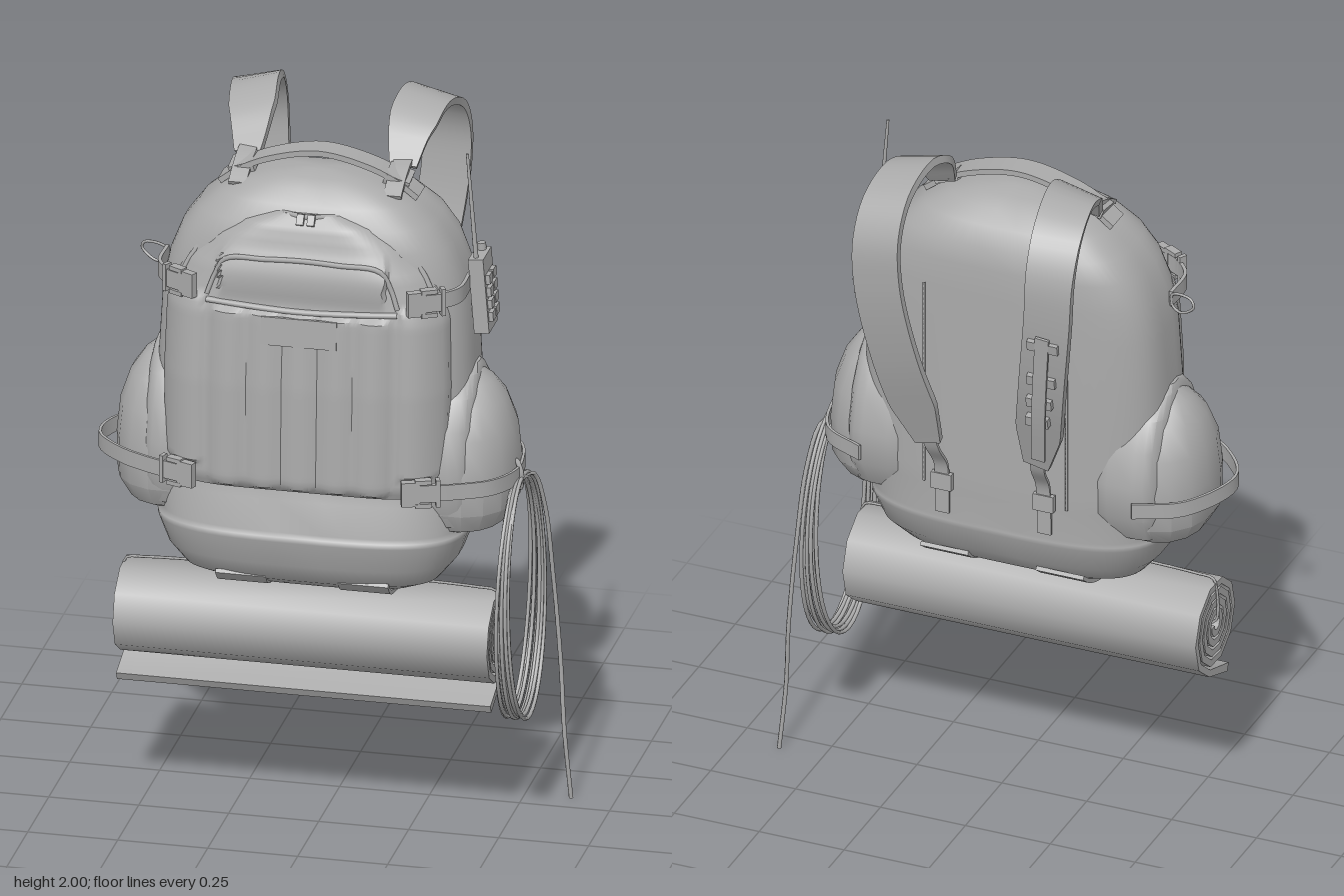
import * as THREE from 'three';
import { toCreasedNormals } from 'three/addons/utils/BufferGeometryUtils.js';

const grey = new THREE.MeshStandardMaterial({ color: 0xaaaaaa });
grey.name = 'canvas grey';
const V = (x, y, z) => new THREE.Vector3(x, y, z);
const lerp = THREE.MathUtils.lerp;

function add(parent, name, geometry, pos = [0, 0, 0], rot = [0, 0, 0]) {
  const mesh = new THREE.Mesh(geometry, grey);
  mesh.name = name;
  mesh.position.set(...pos);
  mesh.rotation.set(...rot);
  parent.add(mesh);
  return mesh;
}

// Closed skin over rings of equal point count, capped at both ends, facing outward
function loft(rings, crease = 0) {
  const n = rings[0].length, pts = rings.flat(), idx = [];
  const centre = r => r.reduce((s, p) => s.add(p), V(0, 0, 0)).divideScalar(n);
  const first = pts.length, last = first + 1, end = (rings.length - 1) * n;
  pts.push(centre(rings[0]), centre(rings[rings.length - 1]));
  for (let j = 0; j < n; j++) {
    const k = (j + 1) % n;
    for (let i = 0; i < rings.length - 1; i++) {
      const a = i * n + j, b = i * n + k;
      idx.push(a, b, b + n, a, b + n, a + n);
    }
    idx.push(first, k, j, last, end + j, end + k);
  }
  let volume = 0;
  for (let i = 0; i < idx.length; i += 3)
    volume += pts[idx[i]].dot(V(0, 0, 0).crossVectors(pts[idx[i + 1]], pts[idx[i + 2]]));
  if (volume < 0) idx.reverse();
  const g = new THREE.BufferGeometry().setFromPoints(pts);
  g.setIndex(idx);
  g.computeVertexNormals();
  return crease ? toCreasedNormals(g, crease) : g;
}

// Flat webbing that follows a curve; side is the direction of its width
function ribbon(points, width, thick, side = V(1, 0, 0), steps = 28) {
  const curve = new THREE.CatmullRomCurve3(points.map(p => V(...p)));
  const rings = [];
  for (let i = 0; i <= steps; i++) {
    const u = i / steps, p = curve.getPointAt(u), t = curve.getTangentAt(u);
    const s = side.clone().addScaledVector(t, -side.dot(t)).normalize();
    const nrm = V(0, 0, 0).crossVectors(t, s);
    const w = (typeof width === 'function' ? width(u) : width) / 2;
    rings.push([[-1, -1], [1, -1], [1, 1], [-1, 1]].map(([a, b]) =>
      p.clone().addScaledVector(s, a * w).addScaledVector(nrm, b * thick / 2)));
  }
  return loft(rings, 0.7);
}

const tube = (points, r, closed = false, steps = 40) => new THREE.TubeGeometry(
  new THREE.CatmullRomCurve3(points.map(p => V(...p)), closed), steps, r, 6, closed);

// Rounded horizontal section
function section(y, cx, rx, z0, z1, power, n) {
  const ring = [], f = v => Math.sign(v) * Math.abs(v) ** (2 / power);
  for (let j = 0; j < n; j++) {
    const a = (j + 0.5) / n * Math.PI * 2;
    ring.push(V(cx + rx * f(Math.cos(a)), y, (z0 + z1) / 2 + (z1 - z0) / 2 * f(Math.sin(a))));
  }
  return ring;
}

// Front panel: rows of height, half width, front depth
const panelRows = [[0.985, 0.36, 0.25], [0.995, 0.38, 0.328], [1.03, 0.39, 0.342], [1.3, 0.395, 0.332],
  [1.5, 0.39, 0.316], [1.55, 0.375, 0.306], [1.62, 0.34, 0.296], [1.7, 0.27, 0.28],
  [1.75, 0.2, 0.262], [1.775, 0.12, 0.235]];
function panelAt(y) {
  let i = 0;
  while (i < panelRows.length - 2 && panelRows[i + 1][0] < y) i++;
  const [a, b] = [panelRows[i], panelRows[i + 1]], t = (y - a[0]) / (b[0] - a[0]);
  return [lerp(a[1], b[1], t), lerp(a[2], b[2], t)];
}
function panelZ(x, y) {
  const [hw, zf] = panelAt(y), ax = Math.abs(x);
  let z = zf - 0.085 * Math.min(1, ax / hw) ** 6;
  if (y > 1.01 && y < 1.51 && ax < 0.25) z += 0.004 + 0.014 * Math.abs(Math.cos(x * Math.PI / 0.1));
  if (y > 1.06 && y < 1.54 && ax > 0.27) z += 0.016 * Math.sin(Math.min(1, (ax - 0.27) / 0.12) * Math.PI) ** 0.5;
  if (y > 1.54 && y < 1.69 && ax < 0.23) z += 0.014 * Math.sin((y - 1.54) / 0.15 * Math.PI);
  return z;
}

function buckle(parent, name, pos, turn) {
  const g = new THREE.Group();
  g.name = name;
  g.position.set(...pos);
  g.rotation.y = turn;
  add(g, 'buckleSocket', new THREE.BoxGeometry(0.05, 0.07, 0.022), [-0.02, 0, 0]);
  add(g, 'bucklePlug', new THREE.BoxGeometry(0.05, 0.05, 0.018), [0.03, 0, 0]);
  for (const s of [-1, 1]) add(g, 'buckleProng', new THREE.BoxGeometry(0.045, 0.012, 0.024), [0.015, s * 0.034, 0]);
  add(g, 'buckleBar', new THREE.BoxGeometry(0.012, 0.078, 0.024), [0.055, 0, 0]);
  parent.add(g);
}

// Everything that appears on both flanks
function buildSide(pack, s) {
  const m = pts => pts.map(([x, y, z]) => [x * s, y, z]);
  const up = V(0, 1, 0);

  // Side pocket: a shallow arched gusset with a faceted dome on it
  const gusset = [[0.87, 0.44, 0.0, 0.2], [0.9, 0.455, -0.07, 0.25], [0.98, 0.465, -0.115, 0.283], [1.08, 0.465, -0.118, 0.28],
    [1.18, 0.462, -0.095, 0.26], [1.26, 0.458, -0.05, 0.215], [1.31, 0.452, 0.01, 0.16], [1.33, 0.445, 0.05, 0.11]];
  add(pack, 'pocketGusset', loft(gusset.map(([y, x, a, b]) => section(y, s * 0.36, x - 0.36, a, b, 4, 24)), 0.6));
  const dome = [[0.866, 0.45, 0.0, 0.2], [0.885, 0.52, -0.045, 0.24], [0.94, 0.553, -0.085, 0.27], [1.05, 0.557, -0.09, 0.268],
    [1.15, 0.547, -0.075, 0.25], [1.23, 0.52, -0.035, 0.21], [1.28, 0.485, 0.01, 0.16], [1.31, 0.45, 0.05, 0.12]];
  add(pack, 'sidePocket', loft(dome.map(([y, x, a, b]) => section(y, s * 0.4, x - 0.4, a, b, 2.2, 16)), 0.6));

  // Compression straps; the right lower one hangs slack
  const slack = s < 0 ? 0.035 : 0;
  add(pack, 'lowerStrap', ribbon(m([[0.35, 1.03, 0.333], [0.43, 1.03, 0.3], [0.515, 1.03, 0.25], [0.56 + slack, 1.025, 0.15],
    [0.56 + slack, 1.025, 0.07], [0.52, 1.02, -0.06], [0.4, 1.02, -0.125]]), 0.045, 0.008, up));
  add(pack, 'upperStrap', ribbon(m([[0.31, 1.57, 0.295], [0.37, 1.57, 0.265], [0.415, 1.57, 0.21], [0.42, 1.57, 0.1]]), 0.045, 0.01, up));
  buckle(pack, 'upperBuckle', [s * 0.335, 1.57, 0.29], s > 0 ? 0.5 : Math.PI - 0.5);
  buckle(pack, 'lowerBuckle', [s * 0.33, 1.03, 0.336], s > 0 ? 0.35 : Math.PI - 0.35);

  // Shoulder strap with anchor and lower webbing
  add(pack, 'shoulderStrap', ribbon(m([[0.215, 1.85, 0.015], [0.22, 1.935, -0.05], [0.235, 1.98, -0.16], [0.25, 1.937, -0.28],
    [0.255, 1.84, -0.342], [0.25, 1.7, -0.348], [0.215, 1.45, -0.305], [0.16, 1.16, -0.21]]),
  u => u < 0.12 ? 0.075 + u * 0.5 : u > 0.88 ? 0.135 - (u - 0.88) * 0.5 : 0.135, 0.022, V(1, -0.25 * s, 0), 44));
  add(pack, 'strapAnchor', ribbon(m([[0.215, 1.865, 0.0], [0.215, 1.855, 0.05], [0.215, 1.835, 0.1], [0.215, 1.81, 0.145]]), 0.05, 0.012));
  add(pack, 'anchorPatch', new THREE.BoxGeometry(0.07, 0.03, 0.07), [s * 0.215, 1.838, 0.065], [0.15, 0, -s * 0.35]);
  add(pack, 'strapWebbing', ribbon(m([[0.165, 1.2, -0.218], [0.155, 1.13, -0.195], [0.15, 1.06, -0.15], [0.15, 1.0, -0.14],
    [0.15, 0.9, -0.137]]), 0.04, 0.008));
  add(pack, 'webbingBuckle', new THREE.BoxGeometry(0.06, 0.05, 0.016), [s * 0.15, 1.0, -0.142]);
  add(pack, 'backSeam', tube(m([[0.21, 1.6, -0.127], [0.21, 1.3, -0.127], [0.21, 0.98, -0.127]]), 0.004));

  // Reinforcement strap wrapped under the base
  add(pack, 'baseStrap', ribbon(m([[0.17, 0.735, 0.3], [0.17, 0.705, 0.27], [0.17, 0.688, 0.2], [0.17, 0.688, 0.05],
    [0.17, 0.715, -0.03], [0.17, 0.75, -0.08]]), 0.14, 0.012));
}

export function createModel() {
  const model = new THREE.Group();
  model.name = 'hikingBackpack';
  const pack = new THREE.Group();
  pack.name = 'pack';
  pack.position.x = -0.035;
  model.add(pack);

  // Main bag: height, half width, back, front
  const bag = [[0.69, 0.2, 0.05, 0.19], [0.695, 0.29, 0.01, 0.25], [0.725, 0.355, -0.05, 0.3], [0.78, 0.4, -0.1, 0.33],
    [0.855, 0.428, -0.128, 0.35], [0.87, 0.43, -0.13, 0.35], [0.878, 0.42, -0.126, 0.335], [0.97, 0.432, -0.13, 0.328],
    [1.02, 0.437, -0.13, 0.295], [1.3, 0.438, -0.13, 0.28], [1.5, 0.427, -0.13, 0.272], [1.6, 0.407, -0.13, 0.268],
    [1.68, 0.375, -0.128, 0.26], [1.74, 0.33, -0.117, 0.245], [1.79, 0.27, -0.085, 0.215], [1.825, 0.2, -0.045, 0.18],
    [1.845, 0.13, 0, 0.145], [1.855, 0.05, 0.05, 0.1]];
  add(pack, 'mainBag', loft(bag.map(([y, w, a, b]) => section(y, 0, w, a, b, 3.2, 64))));

  // Front panel with pleats, padded wings and a bulging top pocket
  const rings = [];
  for (let i = 0; i <= 56; i++) {
    const y = lerp(0.985, 1.775, i / 56), hw = panelAt(y)[0], ring = [];
    for (let j = 0; j <= 80; j++) {
      const x = lerp(-hw, hw, j / 80);
      ring.push(V(x, y, panelZ(x, y)));
    }
    ring.push(V(hw, y, 0.15), V(-hw, y, 0.15));
    rings.push(ring);
  }
  add(pack, 'frontPanel', loft(rings, 0.6));
  const onPanel = pts => pts.map(([x, y]) => [x, y, panelZ(x, y)]);
  add(pack, 'pocketArch', tube(onPanel([[-0.265, 1.545], [-0.245, 1.6], [-0.215, 1.65], [-0.1, 1.66], [0, 1.663], [0.1, 1.66],
    [0.215, 1.65], [0.245, 1.6], [0.265, 1.545]]), 0.007));
  add(pack, 'pocketHem', tube(onPanel([[-0.265, 1.53], [-0.14, 1.525], [0, 1.52], [0.14, 1.525], [0.265, 1.53]]), 0.009));
  add(pack, 'panelPiping', tube(onPanel([[-0.36, 1.55], [-0.32, 1.63], [-0.25, 1.71], [-0.16, 1.76], [0, 1.77], [0.16, 1.76],
    [0.25, 1.71], [0.32, 1.63], [0.36, 1.55]]), 0.008));
  add(pack, 'frontPatch', new THREE.BoxGeometry(0.21, 0.08, 0.01), [0, 1.468, 0.334], [-0.07, 0, 0]);
  for (const s of [-1, 1])
    add(pack, 'zipPull', new THREE.BoxGeometry(0.02, 0.03, 0.016), [s * 0.015, 1.765, 0.252], [-0.6, 0, 0]);

  // Carry handle
  add(pack, 'carryHandle', ribbon([[-0.275, 1.795, 0.067], [-0.22, 1.835, 0.067], [-0.14, 1.872, 0.067], [0, 1.9, 0.067],
    [0.14, 1.872, 0.067], [0.22, 1.835, 0.067], [0.275, 1.795, 0.067]], 0.072, 0.016, V(0, 0, 1)));

  for (const s of [-1, 1]) buildSide(pack, s);

  // Adjuster hardware on the right shoulder strap
  [[1.62, -0.352], [1.5, -0.332], [1.42, -0.315], [1.35, -0.298]].forEach(([y, z], i) =>
    add(pack, 'strapAdjuster', new THREE.BoxGeometry(0.09 - i * 0.008, 0.03, 0.02), [-0.238 + i * 0.013, y, z], [-0.2, 0, 0]));
  add(pack, 'adjusterTail', ribbon([[-0.24, 1.65, -0.364], [-0.225, 1.5, -0.345], [-0.21, 1.36, -0.32], [-0.195, 1.22, -0.285]], 0.04, 0.008));
  add(model, 'sideClip', tube([[-0.46, 1.585, 0.1], [-0.52, 1.59, 0.085], [-0.53, 1.57, 0.08], [-0.49, 1.54, 0.09], [-0.46, 1.55, 0.1]], 0.004, true));

  // Rolled mat: spiral strip with a loose tail
  const outer = [], inner = [], step = Math.PI / 5, n = 42;
  for (let i = 0; i <= n; i++) {
    const a = -1.9 - (n - i) * step, r = lerp(0.03, 0.148, i / n);
    outer.push(new THREE.Vector2(r * Math.cos(a), r * Math.sin(a)));
    inner.push(new THREE.Vector2((r - 0.02) * Math.cos(a), (r - 0.02) * Math.sin(a)));
  }
  outer.push(new THREE.Vector2(0.075, -0.187));
  inner.push(new THREE.Vector2(0.086, -0.165));
  const mat = new THREE.ExtrudeGeometry(new THREE.Shape([...outer, ...inner.reverse()]), { depth: 1.04, bevelEnabled: false });
  add(model, 'rolledMat', toCreasedNormals(mat, 0.75), [0.475, 0.547, 0.155], [0, -Math.PI / 2, 0]);
  for (const s of [-1, 1])
    add(model, 'matCord', tube([[0.1, 0.702, 0.155], [0.3, 0.699, 0.155], [0.46, 0.694, 0.155], [0.513, 0.688, 0.155], [0.523, 0.66, 0.155],
      [0.522, 0.56, 0.155], [0.5, 0.547, 0.155]].map(([x, y, z]) => [s * x - 0.043, y, z]), 0.004));

  // Coiled rope with a hanging end
  for (let k = 0; k < 7; k++) {
    const pts = [], rz = k % 2 ? 0.23 - k * 0.002 : 0.2 + k * 0.003, cz = 0.115 + (k % 3) * 0.004;
    for (let i = 0; i < 20; i++) {
      const a = i / 20 * Math.PI * 2, h = Math.sin(a);
      pts.push([0.528 + (k - 3) * (0.006 - 0.003 * h), 0.665 + (0.352 - (k % 3) * 0.006) * h, cz + rz * Math.cos(a)]);
    }
    add(model, 'ropeLoop', tube(pts, 0.0055, true, 56));
  }
  add(model, 'ropeEnd', tube([[0.52, 0.99, 0.1], [0.545, 0.99, 0.03], [0.565, 0.88, -0.02], [0.58, 0.65, -0.06], [0.598, 0.4, -0.07],
    [0.612, 0.2, -0.055], [0.628, 0.004, -0.065]], 0.006));
  add(model, 'ropeClip', tube([[0.52, 1.06, 0.12], [0.535, 1.03, 0.13], [0.53, 0.98, 0.12], [0.515, 1.0, 0.11]], 0.007, true));

  // Hand radio with keypad and aerial
  const radio = new THREE.Group();
  radio.name = 'handRadio';
  radio.position.set(0.414, 1.53, 0.07);
  radio.rotation.z = 0.08;
  add(radio, 'radioBody', new THREE.BoxGeometry(0.042, 0.215, 0.1));
  for (let i = 0; i < 8; i++)
    add(radio, 'radioKey', new THREE.BoxGeometry(0.016, 0.026, 0.034), [0.025, 0.045 - (i >> 1) * 0.036, (i % 2 - 0.5) * 0.044]);
  add(radio, 'radioKnob', new THREE.CylinderGeometry(0.012, 0.012, 0.025, 10), [0, 0.115, -0.03]);
  add(radio, 'radioAerial', new THREE.CylinderGeometry(0.004, 0.007, 0.31, 8), [-0.003, 0.255, 0.03]);
  model.add(radio);

  return model;
}
